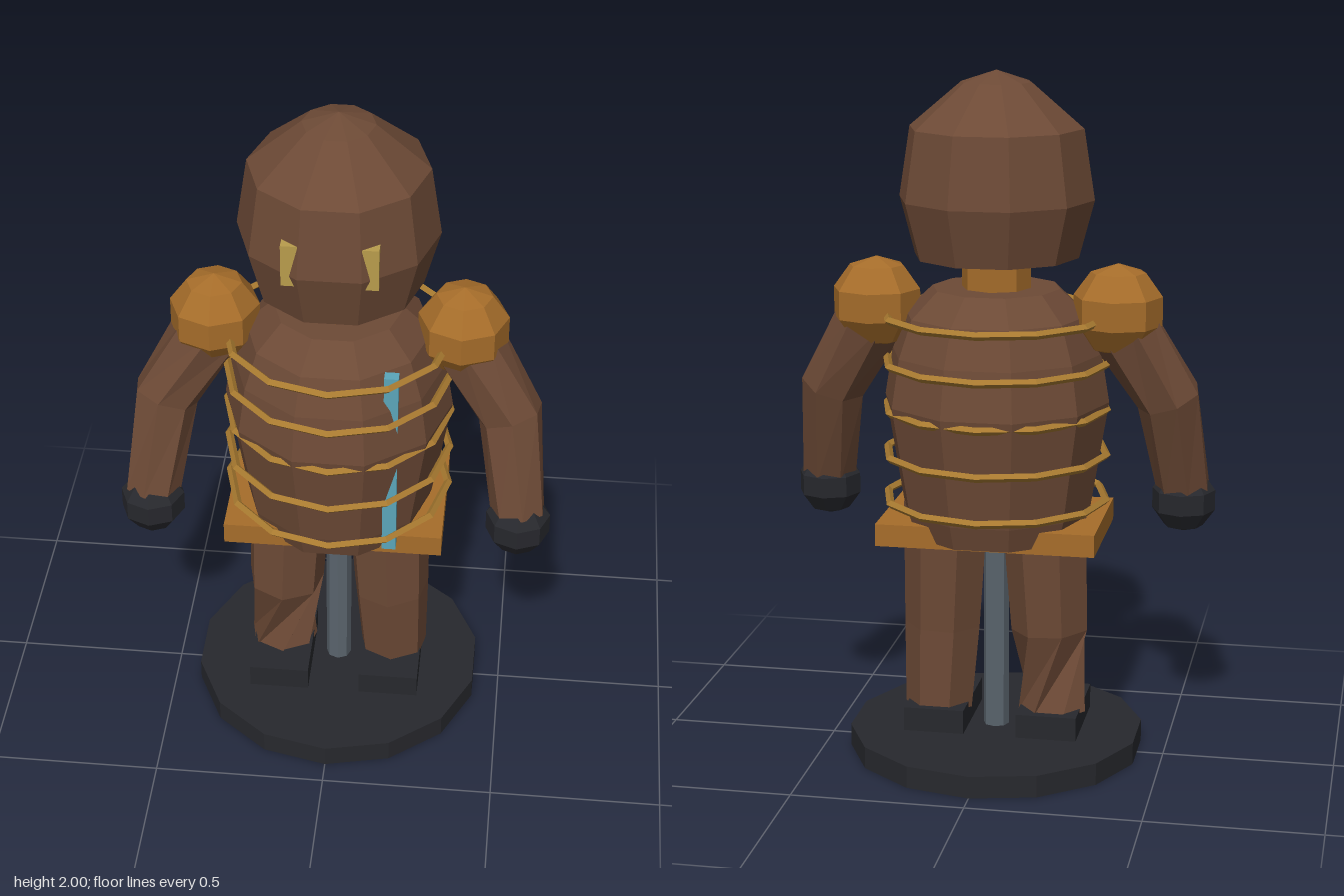
import * as THREE from 'three';

const mat = (color) => new THREE.MeshStandardMaterial({ color, flatShading: true });
const V = (x, y, z) => new THREE.Vector3(x, y, z);

export function createModel() {
  const model = new THREE.Group();
  const brown = mat(0x6d4a36), gold = mat(0xa66d2a), black = mat(0x27282d);
  const brass = mat(0xa87a30), blue = mat(0x5ba6ba), steel = mat(0x5a646d), eyeGold = mat(0xb89c4c);

  const add = (name, geometry, material, x = 0, y = 0, z = 0) => {
    const mesh = new THREE.Mesh(geometry, material);
    mesh.name = name;
    mesh.position.set(x, y, z);
    model.add(mesh);
    return mesh;
  };

  // Ten-sided turned body with corners on the x axis; profile is [radius, y], bottom to top
  const turned = (profile) => new THREE.LatheGeometry(
    profile.map(([r, y]) => new THREE.Vector2(r, y)), 10, Math.PI / 2);

  // Capped limb through rings of {p: centre, r: radius, a: twist}, listed top to bottom
  const limb = (rings, sides = 7) => {
    const pos = [], index = [];
    rings.forEach(({ p, r, a = 0 }, i) => {
      const before = rings[Math.max(i - 1, 0)].p;
      const after = rings[Math.min(i + 1, rings.length - 1)].p;
      const dir = after.clone().sub(before).normalize();
      const turn = new THREE.Quaternion().setFromUnitVectors(V(0, -1, 0), dir);
      for (let j = 0; j < sides; j++) {
        const t = a + (j / sides) * Math.PI * 2;
        const v = V(Math.sin(t) * r, 0, Math.cos(t) * r).applyQuaternion(turn).add(p);
        pos.push(v.x, v.y, v.z);
      }
    });
    for (let i = 0; i < rings.length - 1; i++) {
      for (let j = 0; j < sides; j++) {
        const k = (j + 1) % sides;
        const a = i * sides + j, b = i * sides + k;
        index.push(a, a + sides, b, b, a + sides, b + sides);
      }
    }
    const last = (rings.length - 1) * sides;
    for (let j = 1; j < sides - 1; j++) {
      index.push(0, j, j + 1, last, last + j + 1, last + j);
    }
    const g = new THREE.BufferGeometry();
    g.setAttribute('position', new THREE.Float32BufferAttribute(pos, 3));
    g.setIndex(index);
    g.computeVertexNormals();
    return g;
  };

  // Stand
  add('base', new THREE.CylinderGeometry(0.433, 0.433, 0.065, 14), black, 0, 0.0325, 0);
  add('pole', new THREE.CylinderGeometry(0.038, 0.038, 0.64, 8), steel, 0, 0.385, 0);

  // Torso, neck and head
  add('torso', turned([[0, 0.67], [0.255, 0.67], [0.275, 0.74], [0.328, 1.06],
    [0.305, 1.2], [0.265, 1.31], [0.185, 1.385], [0, 1.385]]), brown);
  add('neck', new THREE.CylinderGeometry(0.1, 0.1, 0.14, 8), gold, 0, 1.43, 0);
  add('head', turned([[0, 1.475], [0.237, 1.475], [0.281, 1.64], [0.25, 1.84],
    [0.1, 1.967], [0, 2]]), brown);

  // Belt plate and chest strip
  add('belt', new THREE.BoxGeometry(0.634, 0.065, 0.4), gold, 0, 0.6875, 0);
  add('chestStrip', new THREE.BoxGeometry(0.04, 0.61, 0.032), blue, 0.167, 1.005, 0.222);

  // Hoops around the torso
  for (let i = 0; i < 5; i++) {
    const hoop = add('hoop', new THREE.TorusGeometry(0.322, 0.012, 4, 12), brass, 0, 0.77 + i * 0.134, 0);
    hoop.rotation.x = Math.PI / 2;
  }

  // Paired parts
  for (const [s, side] of [[1, 'left'], [-1, 'right']]) {
    add(side + 'Eye', new THREE.BoxGeometry(0.046, 0.125, 0.034), eyeGold, s * 0.108, 1.672, 0.235);
    add(side + 'Shoulder', new THREE.SphereGeometry(0.134, 8, 5), gold, s * 0.35, 1.33, 0);
    add(side + 'Arm', limb([
      { p: V(s * 0.35, 1.31, 0), r: 0.105 },
      { p: V(s * 0.495, 1.07, 0.045), r: 0.095, a: s * 0.12 },
      { p: V(s * 0.533, 0.78, 0.13), r: 0.08, a: s * 0.2 },
    ]), brown);
    add(side + 'Hand', new THREE.SphereGeometry(0.097, 8, 5), black, s * 0.533, 0.748, 0.133);
    add(side + 'Leg', limb([
      { p: V(s * 0.145, 0.74, 0), r: 0.128 },
      { p: V(s * 0.16, 0.37, 0.01), r: 0.115 },
      { p: V(s * 0.17, 0.12, 0), r: 0.102, a: s * 0.9 },
    ]), brown);
    add(side + 'Shoe', new THREE.BoxGeometry(0.178, 0.072, 0.296), black, s * 0.167, 0.1, 0.032);
  }
  return model;
}
